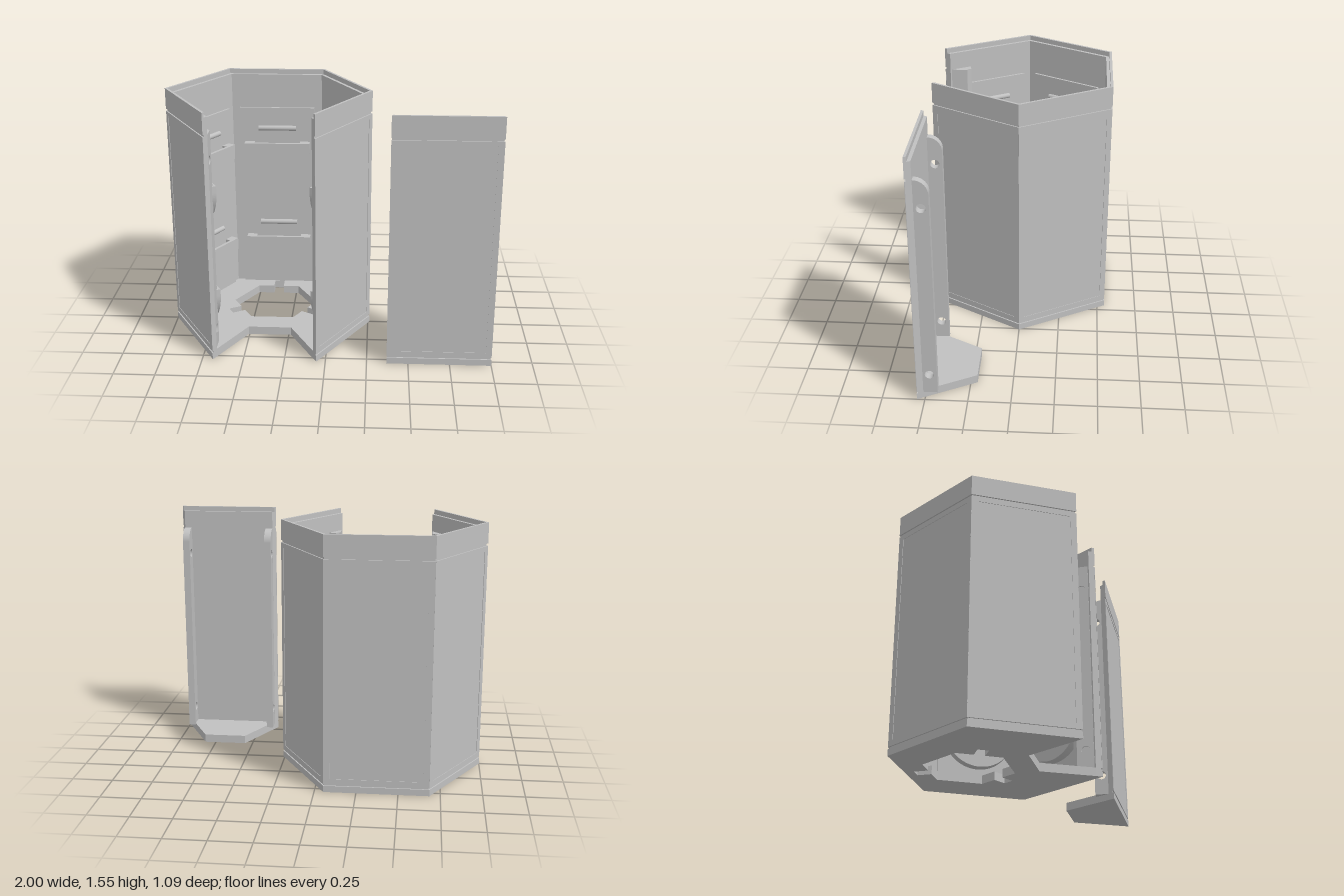
import * as THREE from 'three';

const grey = new THREE.MeshStandardMaterial({ color: 0xc0c0c0 });
grey.name = 'grey plastic';

const H = 1.55, BODY_X = -0.37, PANEL_X = 0.685;
const OUTER = 0.546, CORE = 0.538, LIP = 0.53, INNER = 0.51; // apothems of the wall layers
const FLOOR = 0.052;
const HOLE_Y = [0.165, 1.245];
const WALLS = [-2, -1, 0, 1, 2];

const pts = (list) => list.map(([x, y]) => new THREE.Vector2(x, y));

function add(parent, name, geometry) {
  const mesh = new THREE.Mesh(geometry, grey);
  mesh.name = name;
  parent.add(mesh);
  return mesh;
}

function extrude(shape, depth) {
  return new THREE.ExtrudeGeometry(shape, { depth, bevelEnabled: false, curveSegments: 32 });
}

// Plan outline in (x, z) raised from y0 to y1
function slab(outline, y0, y1, hole) {
  const shape = new THREE.Shape(pts(outline));
  if (hole) shape.holes.push(new THREE.Path(pts(hole)));
  return extrude(shape, y1 - y0).rotateX(Math.PI / 2).translate(0, y1, 0);
}

// Side outline in (z, y) spanning x0 to x1
function sideSlab(shape, x0, x1) {
  return extrude(shape, x1 - x0).rotateY(-Math.PI / 2).translate(x1, 0, 0);
}

function corner(apothem, degrees) {
  const r = apothem * 2 / Math.sqrt(3), a = THREE.MathUtils.degToRad(degrees);
  return [r * Math.cos(a), r * Math.sin(a)];
}

// Mitred run of hexagon walls passing through the given corner angles
function band(angles, ro, ri, y0, y1) {
  const outer = angles.map((a) => corner(ro, a));
  const inner = angles.map((a) => corner(ri, a)).reverse();
  return slab([...outer, ...inner], y0, y1);
}

function rect(Type, x0, y0, x1, y1) {
  return new Type(pts([[x0, y0], [x1, y0], [x1, y1], [x0, y1]]));
}

function circleHole(x, y, r) {
  const path = new THREE.Path();
  path.absarc(x, y, r, 0, Math.PI * 2, true);
  return path;
}

// Wall core, grooved outer skin and stepped top lip
function shell(parent, angles, faces) {
  add(parent, 'wallCore', band(angles, CORE, INNER, 0, 1.52));
  add(parent, 'bottomBand', band(angles, OUTER, LIP, 0, 0.04));
  add(parent, 'middleSkin', band(angles, 0.543, LIP, 0.052, 1.408));
  add(parent, 'topBand', band(angles, OUTER, LIP, 1.422, H));
  for (const k of faces) {
    const frame = rect(THREE.Shape, -0.315, 0.052, 0.315, 1.408);
    frame.holes.push(rect(THREE.Path, -0.279, 0.085, 0.279, 1.38));
    add(parent, 'raisedFrame', extrude(frame, 0.003).translate(0, 0, -OUTER)).rotation.y = k * Math.PI / 3;
  }
}

// Straight sides ending in a half circle, from the top edge down
function halfDisc(Type, r, top) {
  const p = new Type();
  const c = top - 0.04;
  p.moveTo(-r, top);
  p.lineTo(-r, c);
  p.absarc(0, c, r, Math.PI, Math.PI * 2, false);
  p.lineTo(r, top);
  p.closePath();
  return p;
}

// U-shaped pocket side, open at the top
function pocketRim(r, inner, top) {
  const p = new THREE.Shape();
  const c = top - 0.04;
  p.moveTo(-r, top);
  p.lineTo(-r, c);
  p.absarc(0, c, r, Math.PI, Math.PI * 2, false);
  p.lineTo(r, top);
  p.lineTo(inner, top);
  p.lineTo(inner, c);
  p.absarc(0, c, inner, Math.PI * 2, Math.PI, true);
  p.lineTo(-inner, top);
  p.closePath();
  return p;
}

// Backing plate with two pockets and two bars, on the inside of one wall
function wallFittings() {
  const g = new THREE.Group();
  g.name = 'wallFittings';
  add(g, 'backingPlate', new THREE.BoxGeometry(0.49, 1.25, 0.016).translate(0, 0.675, -0.503));
  for (const top of [0.405, 1.07]) {
    add(g, 'pocketRim', extrude(pocketRim(0.215, 0.15, top), 0.035).translate(0, 0, -0.495));
    add(g, 'pocketFront', extrude(halfDisc(THREE.Shape, 0.215, top), 0.02).translate(0, 0, -0.46));
    add(g, 'bar', new THREE.CylinderGeometry(0.017, 0.017, 0.25, 24)
      .rotateZ(Math.PI / 2).translate(0, top + 0.092, -0.495));
  }
  return g;
}

// Floor opening: hexagon with three radial slots
function floorOpening() {
  const out = [], ap = 0.235, half = 0.0325, cz = -0.17;
  for (let k = 0; k < 6; k++) {
    const a = THREE.MathUtils.degToRad(-90 + 60 * k);
    const c = Math.cos(a), s = Math.sin(a);
    const at = (d, t) => [d * c - t * s, cz + d * s + t * c];
    out.push(at(ap, -0.1357));
    if (k % 2 === 0) out.push(at(ap, -half), at(ap + 0.085, -half), at(ap + 0.085, half), at(ap, half));
  }
  return out;
}

function makeBody() {
  const body = new THREE.Group();
  body.name = 'body';
  const angles = [60, 0, -60, -120, -180, -240];
  shell(body, angles, WALLS);
  for (const k of WALLS) {
    const fittings = wallFittings();
    fittings.rotation.y = k * Math.PI / 3;
    body.add(fittings);
  }
  const floorEdge = [...angles.map((a) => corner(INNER, a)), [-0.135, 0.21], [0.135, 0.21]];
  add(body, 'floor', slab(floorEdge, 0, FLOOR, floorOpening()));

  // Bosses beside the opening, with fixing holes
  for (const s of [-1, 1]) {
    add(body, 'boss', slab([[s * 0.305, 0.495], [s * 0.305, 0.4], [s * 0.325, 0.375], [s * 0.375, 0.385]], 0.04, 1.41));
    const face = rect(THREE.Shape, 0.4, 0.04, 0.502, 1.41);
    for (const y of HOLE_Y) face.holes.push(circleHole(0.455, y, 0.027));
    const x = s * 0.301;
    add(body, 'bossFace', sideSlab(face, x - 0.004, x + 0.004));
  }
  body.position.x = BODY_X;
  return body;
}

function makePanel() {
  const panel = new THREE.Group();
  panel.name = 'frontPanel';
  shell(panel, [120, 60], [3]);
  add(panel, 'panelFloor', slab([[-0.135, 0.21], [0.135, 0.21], [0.2945, INNER], [-0.2945, INNER]], 0, FLOOR));

  // Side flanges with a rounded top corner and fixing holes
  for (const s of [-1, 1]) {
    const f = new THREE.Shape();
    f.moveTo(0.512, 0.04);
    f.lineTo(0.512, 1.41);
    f.absarc(0.508, 1.328, 0.082, Math.PI / 2, Math.PI, false);
    f.lineTo(0.426, 0.04);
    f.closePath();
    for (const y of HOLE_Y) f.holes.push(circleHole(0.47, y, 0.027));
    const x = s * 0.272;
    add(panel, 'flange', sideSlab(f, x - 0.022, x + 0.022));
  }
  panel.position.x = PANEL_X;
  return panel;
}

export function createModel() {
  const model = new THREE.Group();
  model.name = 'hexagonalCase';
  model.add(makeBody(), makePanel());
  return model;
}
